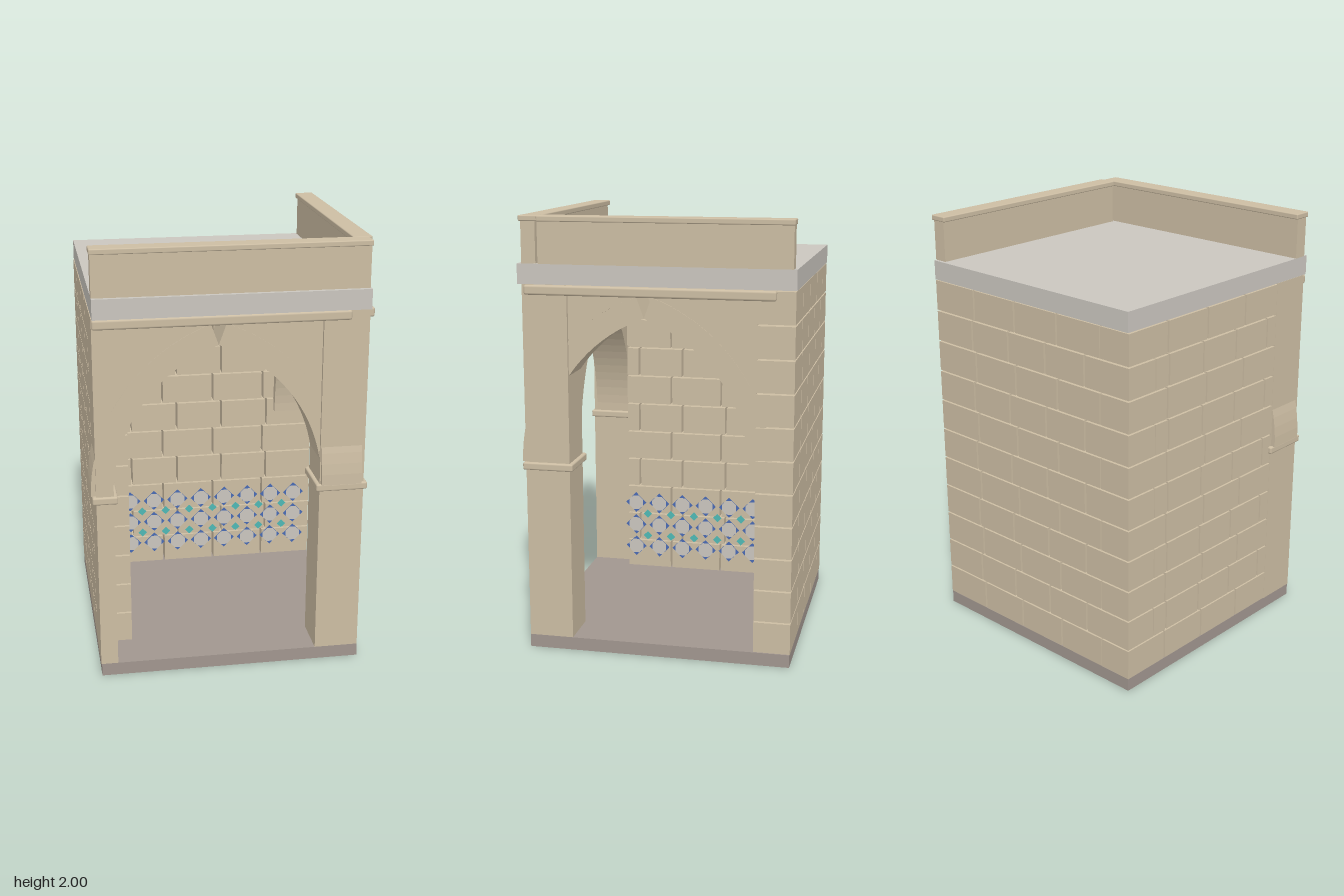
import * as THREE from 'three';
import { RoundedBoxGeometry } from 'three/addons/geometries/RoundedBoxGeometry.js';

const mat = (name, color) => {
  const m = new THREE.MeshStandardMaterial({ color });
  m.name = name;
  return m;
};

export function createModel() {
  const stone = mat('sandstone', 0xccbda3);
  const slab = mat('pale plaster', 0xcac6bf);
  const paving = mat('floor stone', 0xa1968f);
  const blue = mat('blue glaze', 0x4a6bb4);
  const teal = mat('teal glaze', 0x4fb8b4);
  const model = new THREE.Group();
  model.name = 'archedPavilion';

  const add = (parent, name, geometry, material) => {
    const mesh = new THREE.Mesh(geometry, material);
    mesh.name = name;
    parent.add(mesh);
    return mesh;
  };
  // Box given by its limits on each axis, with optional rounded edges
  const box = (parent, name, material, [x0, x1], [y0, y1], [z0, z1], round = 0) => {
    const size = [x1 - x0, y1 - y0, z1 - z0];
    const g = round ? new RoundedBoxGeometry(...size, 2, round) : new THREE.BoxGeometry(...size);
    add(parent, name, g, material).position.set((x0 + x1) / 2, (y0 + y1) / 2, (z0 + z1) / 2);
  };
  const group = (name) => {
    const g = new THREE.Group();
    g.name = name;
    model.add(g);
    return g;
  };

  // Floor and roof
  box(model, 'floor', paving, [-0.605, 0.605], [0, 0.06], [-0.615, 0.6]);
  box(model, 'roofSlab', slab, [-0.605, 0.605], [1.70, 1.79], [-0.62, 0.62]);

  // Parapets with coping
  box(model, 'frontParapet', stone, [-0.605, 0.6], [1.79, 1.975], [0.535, 0.6]);
  box(model, 'frontCoping', stone, [-0.61, 0.605], [1.975, 2], [0.523, 0.61], 0.005);
  box(model, 'sideParapet', stone, [0.545, 0.61], [1.79, 1.975], [-0.605, 0.522]);
  box(model, 'sideCoping', stone, [0.535, 0.622], [1.975, 2], [-0.61, 0.522], 0.005);

  // Pillars, capitals and cornices
  box(model, 'cornerPillar', stone, [0.4, 0.604], [0.06, 1.70], [0.395, 0.6]);
  box(model, 'leftPillar', stone, [-0.608, -0.53], [0.06, 1.70], [0.395, 0.6]);
  box(model, 'cornerCapital', stone, [0.383, 0.62], [0.857, 0.892], [0.378, 0.612], 0.008);
  box(model, 'leftCapital', stone, [-0.625, -0.512], [0.857, 0.892], [0.378, 0.612], 0.008);
  box(model, 'frontCornice', stone, [-0.607, 0.52], [1.655, 1.699], [0.38, 0.62], 0.01);
  box(model, 'sideCornice', stone, [0.38, 0.63], [1.655, 1.699], [-0.535, 0.585], 0.01);

  // Brick walls: rows of separate blocks with open joints, interlocked at the corner
  const rows = 11, rowH = 1.64 / rows, gap = 0.005;
  const backJoints = [
    [-0.445, -0.185, 0.08, 0.345, 0.61],
    [-0.612, -0.35, -0.11, 0.125, 0.365, 0.61],
  ];
  const leftJoints = [
    [-0.622, -0.37, -0.105, 0.16, 0.4],
    [-0.45, -0.36, -0.13, 0.1, 0.33, 0.4],
  ];
  const backWall = group('backWall'), leftWall = group('leftWall');
  for (let r = 0; r < rows; r++) {
    const ys = [0.06 + r * rowH + gap / 2, 0.06 + (r + 1) * rowH - gap];
    const b = backJoints[r % 2], l = leftJoints[r % 2];
    for (let i = 0; i < b.length - 1; i++)
      box(backWall, 'brick', stone, [b[i] + gap, b[i + 1] - gap], ys, [-0.617, -0.45]);
    for (let i = 0; i < l.length - 1; i++)
      box(leftWall, 'brick', stone, [-0.607, -0.445], ys, [l[i] + gap, l[i + 1] - gap]);
  }

  // Pointed arch: each half is an arc whose centre lies beyond the middle line
  const C = 0.2426, R = 0.7126, RO = 0.8126, SPRING = 0.89;
  const A = Math.acos(C / R);
  function arch(name, uMin, uMax) {
    const g = group(name);
    const options = { depth: 0.185, bevelEnabled: false };
    for (const s of [-1, 1]) {
      const pts = [], n = 20;
      const point = (r, a) => new THREE.Vector2(s * (r * Math.cos(a) - C), SPRING + r * Math.sin(a));
      for (let i = 0; i <= n; i++) pts.push(point(R, A * i / n));
      for (let i = n; i >= 0; i--) pts.push(point(RO, A * i / n));
      add(g, 'archRing', new THREE.ExtrudeGeometry(new THREE.Shape(pts), options), stone);
    }
    // Wall above the ring, following its outer curve
    const pts = [new THREE.Vector2(uMin, 1.70), new THREE.Vector2(uMax, 1.70)];
    for (let i = 0; i <= 40; i++) {
      const u = uMax + (uMin - uMax) * i / 40;
      const h = Math.max(Math.abs(u), 0.034) + C;
      pts.push(new THREE.Vector2(u, SPRING + Math.sqrt(RO * RO - h * h)));
    }
    const panel = add(g, 'spandrel', new THREE.ExtrudeGeometry(new THREE.Shape(pts), options), stone);
    panel.scale.z = 0.99;
    return g;
  }
  arch('frontArch', -0.47, 0.46).position.set(-0.06, 0, 0.4);
  const sideArch = arch('sideArch', -0.35, 0.5);
  sideArch.position.set(0.405, 0, 0.05);
  sideArch.rotation.y = Math.PI / 2;

  // Glazed tile band: blue-cornered octagons with teal diamonds between them
  const bigDiamond = new THREE.CircleGeometry(0.055, 4);
  const octagon = new THREE.CircleGeometry(0.041, 8, Math.PI / 8);
  const smallDiamond = new THREE.CircleGeometry(0.023, 4);
  function tiles(name, start, count) {
    const g = group(name), step = 0.126, rise = 0.121;
    for (let i = 0; i < count; i++) for (let j = 0; j < 3; j++) {
      const x = start + i * step, y = 0.173 + j * rise;
      add(g, 'blueDiamond', bigDiamond, blue).position.set(x, y, 0.004);
      add(g, 'octagonTile', octagon, slab).position.set(x, y, 0.007);
      if (i < count - 1 && j < 2)
        add(g, 'tealDiamond', smallDiamond, teal).position.set(x + step / 2, y + rise / 2, 0.004);
    }
    return g;
  }
  tiles('backTiles', -0.362, 8).position.z = -0.45;
  const leftTiles = tiles('leftTiles', -0.352, 7);
  leftTiles.position.x = -0.445;
  leftTiles.rotation.y = Math.PI / 2;

  return model;
}
